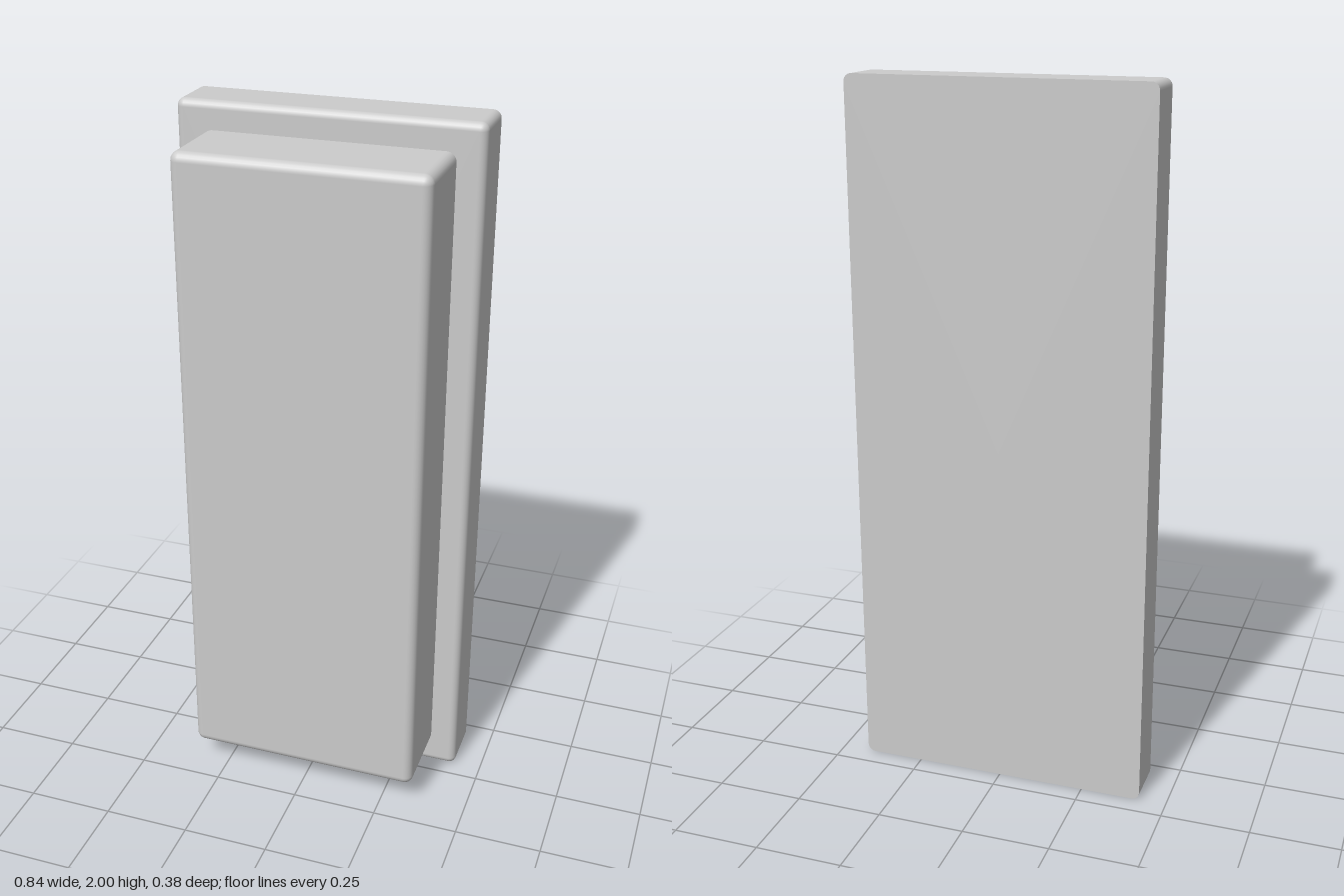
import * as THREE from 'three';

const material = new THREE.MeshStandardMaterial({ color: 0xcccccc });

// Slab with rounded sides and a rounded front rim; the back stays flat and sharp.
function roundedSlab(name, width, height, back, front, r, steps = 6) {
  const pos = [], nor = [], idx = [];
  const cx = width / 2 - r, cy = height / 2 - r;
  const perRing = 4 * (steps + 1);

  // One ring of the outline; tilt turns it from the side towards the front
  const addRing = (tilt, z, flatNormal) => {
    for (let c = 0; c < 4; c++) {
      const sx = c === 0 || c === 3 ? 1 : -1, sy = c < 2 ? 1 : -1;
      for (let i = 0; i <= steps; i++) {
        const a = (c + i / steps) * Math.PI / 2;
        const nx = Math.cos(a) * Math.cos(tilt), ny = Math.sin(a) * Math.cos(tilt);
        pos.push(sx * cx + r * nx, sy * cy + r * ny, z);
        nor.push(...(flatNormal ?? [nx, ny, Math.sin(tilt)]));
      }
    }
  };
  const addCap = (start, z, dir) => {
    const centre = pos.length / 3;
    pos.push(0, 0, z);
    nor.push(0, 0, dir);
    for (let i = 0; i < perRing; i++) {
      const a = start + i, b = start + (i + 1) % perRing;
      idx.push(centre, ...(dir > 0 ? [a, b] : [b, a]));
    }
  };

  // Sides and rounded front rim
  addRing(0, back);
  for (let k = 0; k <= steps; k++) {
    const tilt = k / steps * Math.PI / 2;
    addRing(tilt, front - r + r * Math.sin(tilt));
  }
  for (let k = 0; k <= steps; k++) {
    for (let i = 0; i < perRing; i++) {
      const a = k * perRing + i, b = k * perRing + (i + 1) % perRing;
      idx.push(a, b, b + perRing, a, b + perRing, a + perRing);
    }
  }

  // Front and back faces
  addCap((steps + 1) * perRing, front, 1);
  const backStart = pos.length / 3;
  addRing(0, back, [0, 0, -1]);
  addCap(backStart, back, -1);

  const geometry = new THREE.BufferGeometry();
  geometry.setAttribute('position', new THREE.Float32BufferAttribute(pos, 3));
  geometry.setAttribute('normal', new THREE.Float32BufferAttribute(nor, 3));
  geometry.setIndex(idx);
  const mesh = new THREE.Mesh(geometry, material);
  mesh.name = name;
  mesh.position.y = 1;
  return mesh;
}

export function createModel() {
  const group = new THREE.Group();
  group.name = 'steppedPanel';
  group.add(
    roundedSlab('backPlate', 0.844, 2, -0.192, -0.04, 0.022),
    roundedSlab('frontBlock', 0.69, 1.846, -0.04, 0.192, 0.026),
  );
  return group;
}
